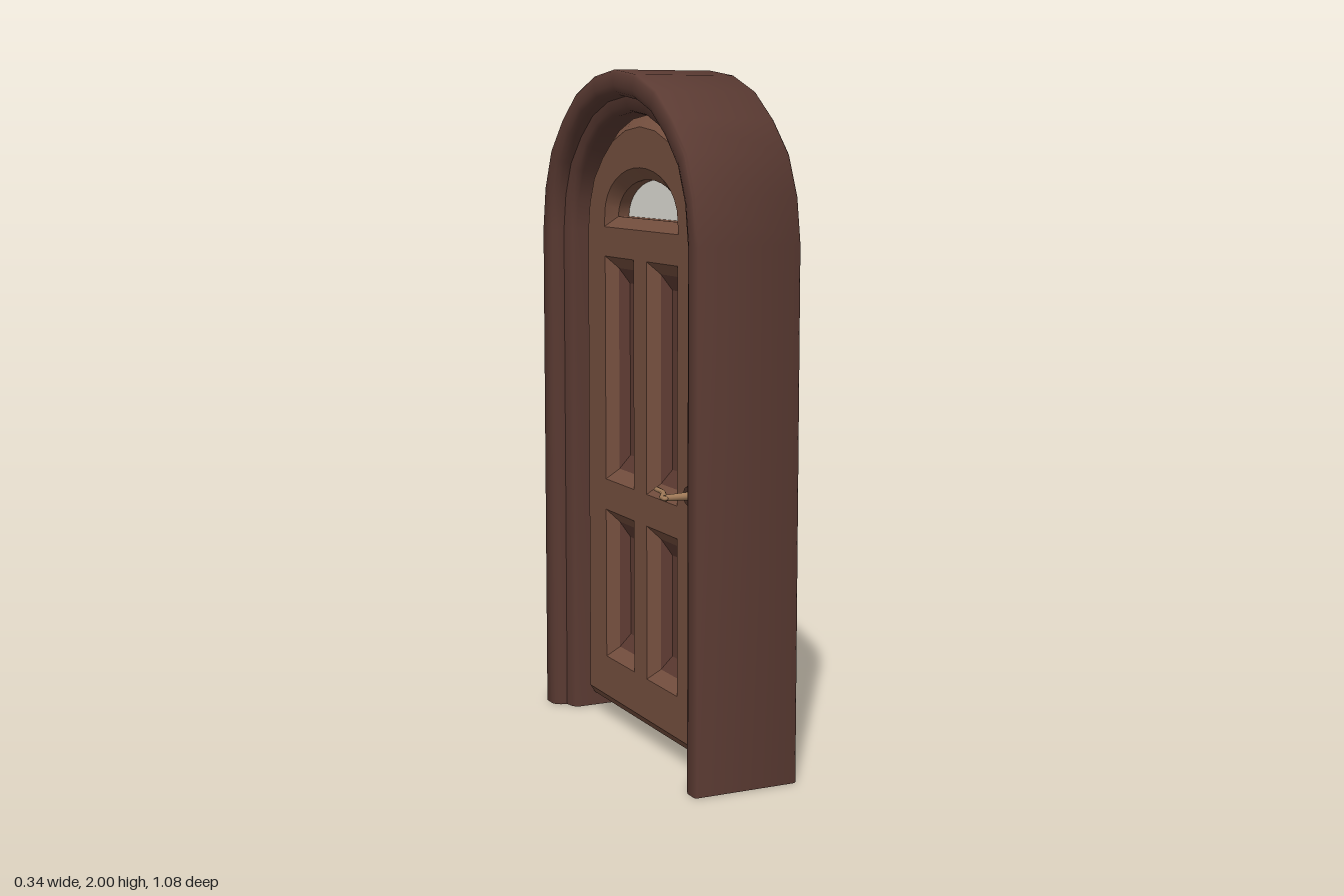
import * as THREE from 'three';
import { toCreasedNormals } from 'three/addons/utils/BufferGeometryUtils.js';

const mat = (color, side = THREE.FrontSide) => new THREE.MeshStandardMaterial({ color, side });

// Half of the arch curve for half-width 0.54, springing at y = 1.52
const OUTER = [[0.54, 1.52], [0.52, 1.65], [0.47, 1.765], [0.378, 1.86], [0.275, 1.935], [0.143, 1.983]];

// Outline from bottom left, over the arch, to bottom right, for half-width w
function archPath(w, bottom) {
  const scaled = OUTER.map(([u, y]) => [u * w / 0.54, 1.52 + (y - 1.52) * (w - 0.06) / 0.48]);
  const left = scaled.map(([u, y]) => [-u, y]);
  return [[-w, bottom], ...left, [0, 1.46 + w], ...scaled.reverse(), [w, bottom]];
}

const toShape = (pts) => new THREE.Shape(pts.map(([x, y]) => new THREE.Vector2(x, y)));
const rect = (x0, y0, x1, y1) => [[x0, y0], [x1, y0], [x1, y1], [x0, y1]];

function add(parent, name, geometry, material, x = 0, y = 0, z = 0) {
  const mesh = new THREE.Mesh(geometry, material);
  mesh.name = name;
  mesh.position.set(x, y, z);
  parent.add(mesh);
  return mesh;
}

// Frame: a moulded section [half-width, depth] swept along the arch
function frameGeometry() {
  const half = [[0.54, 0.154], [0.534, 0.16], [0.495, 0.16], [0.478, 0.154], [0.468, 0.14],
    [0.464, 0.12], [0.437, 0.115], [0.425, 0.107], [0.42, 0.095]];
  const section = [...half, ...half.map(([w, d]) => [w, -d]).reverse()];
  const n = section.length;
  const paths = section.map(([w]) => archPath(w, 0));
  const rings = paths[0].length;
  const position = [], index = [];
  for (let r = 0; r < rings; r++) {
    section.forEach(([, d], i) => position.push(...paths[i][r], d));
  }
  for (let r = 0; r < rings - 1; r++) {
    for (let i = 0; i < n; i++) {
      const a = r * n + i, b = r * n + (i + 1) % n;
      index.push(a, b, a + n, b, b + n, a + n);
    }
  }
  // feet of both legs
  const cap = THREE.ShapeUtils.triangulateShape(section.map(([w, d]) => new THREE.Vector2(w, d)), []);
  const last = (rings - 1) * n;
  for (const [a, b, c] of cap) index.push(a, b, c, last + a, last + c, last + b);
  const g = new THREE.BufferGeometry();
  g.setAttribute('position', new THREE.Float32BufferAttribute(position, 3));
  g.setIndex(index);
  return toCreasedNormals(g, 0.85);
}

// Sunken panel border: slopes from the opening down to a flat centre, facing +z
function panelGeometry([x0, y0, x1, y1]) {
  const inset = 0.03, rise = 0.045;
  const outer = rect(x0, y0, x1, y1);
  const inner = rect(x0 + inset, y0 + rise, x1 - inset, y1 - rise);
  const position = [...outer.flatMap((p) => [...p, 0.045]), ...inner.flatMap((p) => [...p, 0.022])];
  const index = [4, 5, 6, 4, 6, 7];
  for (let i = 0; i < 4; i++) {
    const j = (i + 1) % 4;
    index.push(i, j, i + 4, j, j + 4, i + 4);
  }
  const g = new THREE.BufferGeometry();
  g.setAttribute('position', new THREE.Float32BufferAttribute(position, 3));
  g.setIndex(index);
  return toCreasedNormals(g, 0.2);
}

// Lever handle on one face of the door
function makeHandle(brass, dark) {
  const handle = new THREE.Group();
  handle.name = 'handle';
  const plate = add(handle, 'handlePlate', new THREE.CylinderGeometry(0.026, 0.034, 0.014, 20), dark, 0, 0, 0.08);
  plate.rotation.x = Math.PI / 2;
  const spindle = add(handle, 'handleSpindle', new THREE.CylinderGeometry(0.009, 0.012, 0.075, 12), brass, 0, 0, 0.12);
  spindle.rotation.x = Math.PI / 2;
  const curve = new THREE.CatmullRomCurve3([[-0.008, 0.16], [0.012, 0.159], [0.05, 0.138], [0.09, 0.122], [0.14, 0.116]]
    .map(([x, z]) => new THREE.Vector3(x, 0, z)));
  const lever = new THREE.TubeGeometry(curve, 16, 0.009, 8);
  lever.scale(1, 0.75, 1);
  add(handle, 'handleLever', lever, brass);
  const knob = add(handle, 'handleTip', new THREE.SphereGeometry(0.009, 12, 8), brass, -0.008, 0, 0.16);
  knob.scale.y = 0.75;
  add(handle, 'handleEnd', new THREE.SphereGeometry(0.008, 10, 8), brass, 0.14, 0, 0.116).scale.y = 0.75;
  handle.position.set(-0.34, 0.81, 0);
  return handle;
}

export function createModel() {
  const model = new THREE.Group();
  model.name = 'archedDoor';
  // Built facing +z, then turned so that the door faces +x and -x
  const body = new THREE.Group();
  body.name = 'doorAssembly';
  body.rotation.y = Math.PI / 2;
  model.add(body);

  const frameMat = mat(0x5a3a32, THREE.DoubleSide);
  const doorMat = mat(0x76503f);
  const panelMat = mat(0x5f3c33);
  const glassMat = mat(0xe4e2da);
  const brass = mat(0xa07a58);
  const dark = mat(0x4a3027);

  add(body, 'frame', frameGeometry(), frameMat);

  // Door leaf with bevelled openings for the panels and the fanlight
  const panels = [];
  for (const [y0, y1] of [[0.8, 1.415], [0.24, 0.635]]) {
    panels.push([-0.215, y0, -0.08, y1], [0.08, y0, 0.215, y1]);
  }
  const fan = Array.from({ length: 17 }, (_, i) => {
    const a = i * Math.PI / 16;
    return [0.218 * Math.cos(a), 1.57 + 0.115 * Math.sin(a)];
  });
  const leaf = toShape(archPath(0.413, 0.045));
  leaf.holes.push(...panels.map((p) => toShape(rect(...p))), toShape(fan));
  const bevel = 0.035;
  const leafGeo = new THREE.ExtrudeGeometry(leaf, {
    depth: 0.09, bevelEnabled: true, bevelSegments: 1,
    bevelSize: bevel, bevelOffset: -bevel, bevelThickness: 0.03,
  });
  leafGeo.translate(0, 0, -0.045);
  add(body, 'doorLeaf', toCreasedNormals(leafGeo, 0.5), doorMat);

  // Fanlight glass
  const glass = new THREE.ExtrudeGeometry(toShape(fan), { depth: 0.02, bevelEnabled: false });
  glass.translate(0, 0, -0.01);
  add(body, 'windowGlass', glass, glassMat);

  // Panels and handles on both faces
  for (const back of [false, true]) {
    const face = new THREE.Group();
    face.name = back ? 'backFace' : 'frontFace';
    if (back) face.rotation.y = Math.PI;
    panels.forEach((p) => add(face, 'panel', panelGeometry(p), panelMat));
    const handle = makeHandle(brass, dark);
    if (back) {
      // same door edge, lever still pointing to the middle
      handle.position.x = 0.34;
      handle.rotation.y = Math.PI;
      handle.children.forEach((m) => {
        m.position.z *= -1;
        if (m.name === 'handleLever') {
          m.rotation.x = Math.PI;
        } else {
          m.rotation.x *= -1;
        }
      });
    }
    face.add(handle);
    body.add(face);
  }

  // Hinges along the edge opposite the handle
  for (const y of [0.34, 0.97, 1.5]) {
    add(body, 'hinge', new THREE.CylinderGeometry(0.007, 0.007, 0.05, 8), dark, 0.414, y, 0.045);
  }
  return model;
}
